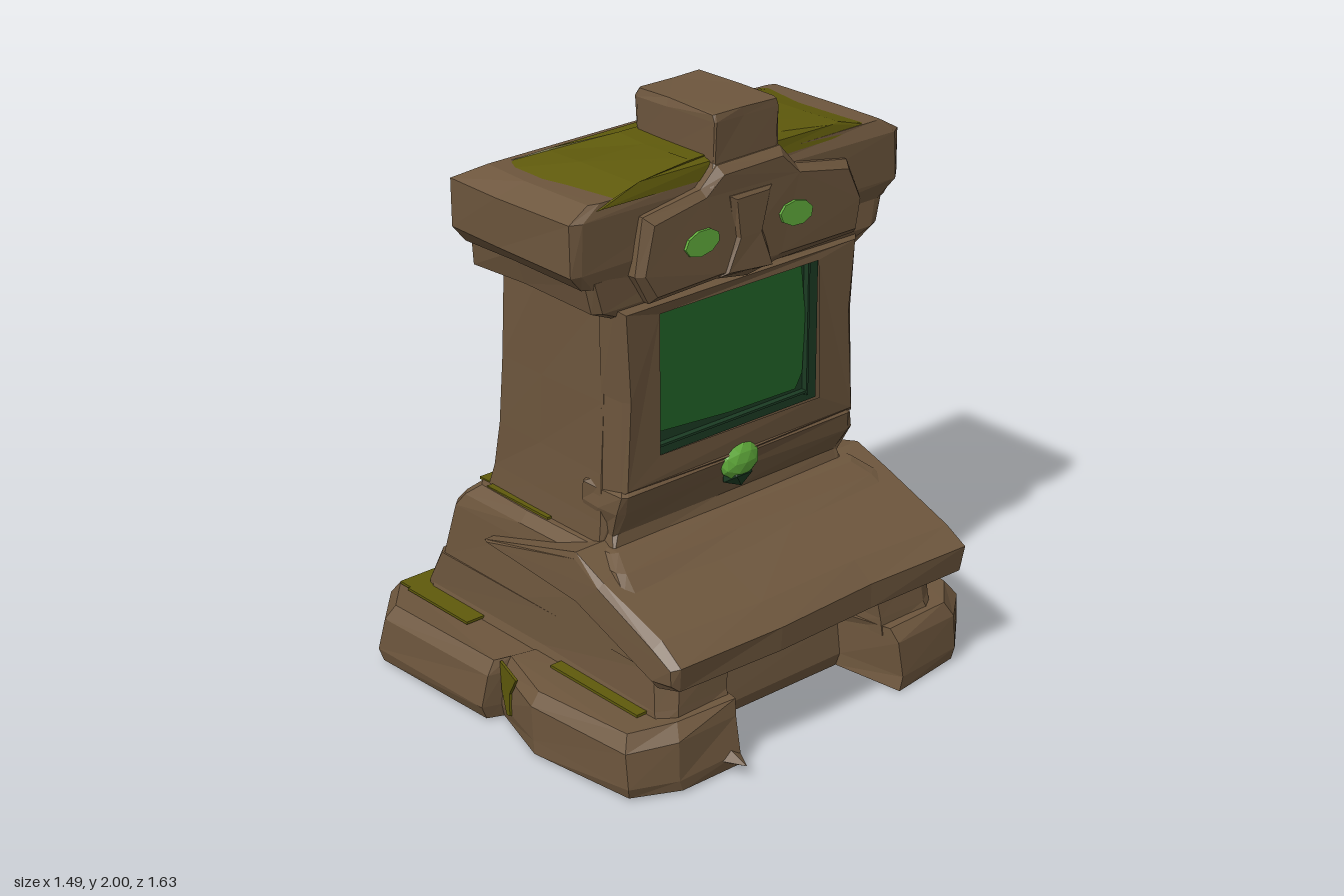
import * as THREE from 'three';

const mat = (name, color, extra = {}) => {
  const m = new THREE.MeshStandardMaterial({ color, flatShading: true, ...extra });
  m.name = name;
  return m;
};

// Same point always gets the same nudge, so seams stay closed
function roughen(geo, amount) {
  const g = geo.index ? geo.toNonIndexed() : geo;
  const p = g.attributes.position;
  const key = (v) => Math.round(v * 1000);
  const noise = (x, y, z, s) => {
    const n = Math.sin(key(x) * 0.127 + key(y) * 0.311 + key(z) * 0.747 + s * 4.1) * 43758.5;
    return (n - Math.floor(n)) * 2 - 1;
  };
  for (let i = 0; i < p.count; i++) {
    const x = p.getX(i), y = p.getY(i), z = p.getZ(i);
    p.setXYZ(i, x + noise(x, y, z, 1) * amount, y + noise(x, y, z, 2) * amount * 0.6, z + noise(x, y, z, 3) * amount);
  }
  g.computeVertexNormals();
  return g;
}

// Stack scaled copies of a plan outline [x, z]; each level is [y, x0, x1, halfZ] of the unit plan
function loft(plan, levels) {
  let flat = plan.map(([x, z]) => new THREE.Vector2(x, -z));
  if (THREE.ShapeUtils.isClockWise(flat)) flat = flat.reverse();
  const n = flat.length, pos = [], idx = [];
  for (const [y, x0, x1, hz] of levels)
    for (const v of flat) pos.push((x0 + x1) / 2 + v.x * (x1 - x0) / 2, y, -v.y * hz);
  for (let l = 0; l < levels.length - 1; l++)
    for (let i = 0; i < n; i++) {
      const a = l * n + i, b = l * n + (i + 1) % n;
      idx.push(a, b, b + n, a, b + n, a + n);
    }
  const top = (levels.length - 1) * n;
  for (const [a, b, c] of THREE.ShapeUtils.triangulateShape(flat, [])) {
    idx.push(a + top, b + top, c + top, a, c, b);
  }
  const g = new THREE.BufferGeometry();
  g.setAttribute('position', new THREE.Float32BufferAttribute(pos, 3));
  g.setIndex(idx);
  return g;
}

const outline = (pts) => pts.map(([x, y]) => new THREE.Vector2(x, y));

// Extrude a [z, y] outline along +x, starting at x
function facing(pts, hole, x, depth, bevel) {
  const flip = (list) => outline(list.map(([z, y]) => [-z, y]));
  const s = new THREE.Shape(flip(pts));
  if (hole) s.holes.push(new THREE.Path(flip(hole)));
  const g = new THREE.ExtrudeGeometry(s, {
    depth: depth - bevel, bevelEnabled: bevel > 0, bevelThickness: bevel, bevelSize: bevel, bevelOffset: -bevel, bevelSegments: 1,
  });
  return g.rotateY(Math.PI / 2).translate(x, 0, 0);
}

export function createModel() {
  const group = new THREE.Group();
  const stone = mat('brown stone', 0x6d563d);
  const moss = mat('olive moss', 0x5f5a0c);
  const glow = mat('bright green', 0x62ae3c);
  const screen = mat('screen green', 0x216427);
  const dark = mat('dark green', 0x1b3b23);
  const add = (name, geo, material, rough = 0) => {
    const m = new THREE.Mesh(rough ? roughen(geo, rough) : geo, material);
    m.name = name;
    group.add(m);
    return m;
  };

  // Chamfered unit block plan
  const block = [[-1, -0.95], [-0.94, -1], [0.1, -1], [0.95, -1], [1, -0.95], [1, 0.1],
    [1, 0.95], [0.95, 1], [-0.2, 1], [-0.94, 1], [-1, 0.95], [-1, -0.2]];

  // Base slab with a front recess between two feet
  const basePlan = [[-0.74, -0.68], [-0.62, -0.82], [-0.07, -0.81], [-0.06, -0.74], [0.28, -0.8], [0.55, -0.75],
    [0.66, -0.63], [0.68, -0.36], [0.42, -0.32], [0.42, 0.32], [0.67, 0.36], [0.67, 0.6], [0.6, 0.76],
    [0.2, 0.8], [-0.05, 0.72], [-0.07, 0.79], [-0.6, 0.8], [-0.74, 0.67]];
  add('baseSlab', loft(basePlan, [[0.005, -0.99, 0.99, 0.99], [0.05, -1, 1, 1], [0.17, -0.98, 0.98, 0.99], [0.215, -0.94, 0.94, 0.95]]), stone, 0.01);
  add('baseSpur', new THREE.ConeGeometry(0.07, 0.13, 4).rotateZ(-Math.PI / 2).scale(1, 0.6, 1).translate(0.68, 0.045, 0.39), stone);

  // Lower plinth, recessed at the front centre, then the sloping upper plinth
  const plinthPlan = [[-1, -0.97], [-0.95, -1], [0, -1], [0.92, -1], [1, -0.9], [1, -0.56], [0.7, -0.54],
    [0.7, 0.54], [1, 0.56], [1, 0.9], [0.92, 1], [0, 1], [-0.95, 1], [-1, 0.97]];
  add('lowerPlinth', loft(plinthPlan, [[0.18, -0.61, 0.61, 0.61], [0.24, -0.6, 0.6, 0.6], [0.37, -0.555, 0.58, 0.585]]), stone, 0.008);
  add('upperPlinth', loft(block, [[0.36, -0.555, 0.56, 0.585], [0.56, -0.5, 0.42, 0.575], [0.61, -0.46, 0.34, 0.56], [0.645, -0.41, 0.27, 0.53]]), stone, 0.008);

  // Sloping console overhanging the front and sides
  const wedge = new THREE.Shape(outline([[-0.28, 0.52], [0.2, 0.48], [0.48, 0.37], [0.58, 0.345], [0.68, 0.36],
    [0.685, 0.44], [0.6, 0.5], [0.33, 0.6], [0.2, 0.655]]));
  const wedgeGeo = new THREE.ExtrudeGeometry(wedge, { depth: 1.22, steps: 3, bevelThickness: 0.02, bevelSize: 0.02, bevelOffset: -0.02, bevelSegments: 1 });
  add('console', wedgeGeo.translate(0, 0, -0.61), stone, 0.011);

  // Cabinet body, lower front ledge and screen frame
  add('cabinet', loft(block, [[0.62, -0.41, 0.2, 0.51], [0.72, -0.375, 0.2, 0.5], [0.88, -0.34, 0.2, 0.49], [1.12, -0.325, 0.2, 0.485], [1.46, -0.31, 0.2, 0.485]]), stone, 0.006);
  add('frontLedge', loft(block, [[0.62, 0.1, 0.25, 0.5], [0.68, 0.1, 0.23, 0.49], [0.77, 0.1, 0.27, 0.5], [0.83, 0.1, 0.285, 0.5], [0.86, 0.1, 0.25, 0.47]]), stone, 0.01);
  add('screenFrame', facing(
    [[-0.5, 0.83], [0, 0.82], [0.49, 0.83], [0.48, 1.15], [0.5, 1.46], [-0.5, 1.46], [-0.48, 1.2]],
    [[-0.35, 0.91], [0.36, 0.91], [0.36, 1.43], [-0.34, 1.43]], 0.18, 0.11, 0.02), stone, 0.006);

  // Recessed screen with a dark surround
  add('screenSurround', new THREE.BoxGeometry(0.008, 0.56, 0.78).translate(0.212, 1.17, 0), dark);
  add('screen', facing([[-0.29, 0.95], [0, 0.955], [0.33, 0.98], [0.33, 1.36], [0.3, 1.39], [-0.27, 1.395], [-0.31, 1.37], [-0.33, 1.2], [-0.32, 1.0]], null, 0.216, 0.008, 0), screen);
  // Dark lining on the inner walls of the recess
  for (const [w, h, y, z] of [[0.008, 0.5, 1.17, 0.342], [0.008, 0.5, 1.17, -0.332], [0.66, 0.008, 0.933, 0]]) {
    add('recessLining', new THREE.BoxGeometry(0.03, h, w).translate(0.222, y, z), dark);
  }

  // Head in two overhanging tiers
  add('headLower', loft(block, [[1.42, -0.305, 0.27, 0.5], [1.46, -0.31, 0.28, 0.59], [1.57, -0.305, 0.28, 0.62]]), stone, 0.01);
  add('headUpper', loft(block, [[1.55, -0.3, 0.28, 0.63], [1.61, -0.31, 0.29, 0.68], [1.77, -0.305, 0.29, 0.68], [1.81, -0.23, 0.275, 0.6]]), stone, 0.008);
  add('headMoss', loft(block, [[1.795, -0.23, 0.275, 0.6], [1.84, -0.15, 0.27, 0.42], [1.86, -0.08, 0.25, 0.2]]), moss, 0.01);

  // Brow plate, nose ridge and the crest block
  add('brow', facing([[-0.46, 1.47], [-0.12, 1.47], [0, 1.45], [0.13, 1.47], [0.4, 1.46], [0.46, 1.56], [0.42, 1.74],
    [0.2, 1.78], [0.13, 1.84], [-0.13, 1.84], [-0.2, 1.77], [-0.42, 1.73], [-0.48, 1.6]], null, 0.24, 0.09, 0.025), stone, 0.004);
  add('noseRidge', facing([[-0.08, 1.47], [0.13, 1.48], [0.08, 1.6], [0.1, 1.74], [-0.07, 1.74], [-0.04, 1.6]], null, 0.31, 0.035, 0.015), stone, 0.005);
  add('crest', loft(block, [[1.78, -0.04, 0.33, 0.17], [1.84, -0.07, 0.3, 0.13], [1.97, -0.07, 0.3, 0.135], [1.995, -0.065, 0.295, 0.125]]), stone, 0.005);

  // Eyes and button
  for (const z of [0.215, -0.175]) {
    const eye = add(z > 0 ? 'leftEye' : 'rightEye', new THREE.CylinderGeometry(1, 1, 0.009, 9).rotateZ(-Math.PI / 2).scale(1, 0.042, 0.07), glow);
    eye.position.set(0.336, 1.62, z);
    eye.rotation.x = z > 0 ? 0.1 : -0.15;
  }
  add('button', new THREE.IcosahedronGeometry(0.08, 1).scale(0.5, 0.85, 1).translate(0.272, 0.81, 0), glow);
  add('buttonSocket', new THREE.IcosahedronGeometry(0.07, 0).scale(0.7, 0.75, 0.9).translate(0.26, 0.765, 0), dark);

  // Moss strips on the ledges: [x0, x1, z0, z1, y]
  const strips = [[-0.675, -0.6, -0.65, 0.66, 0.222], [-0.62, -0.3, 0.59, 0.67, 0.222], [-0.62, -0.3, -0.66, -0.59, 0.222],
    [0.1, 0.52, 0.6, 0.645, 0.222], [-0.43, -0.36, -0.49, 0.5, 0.648], [-0.36, -0.05, 0.48, 0.525, 0.648],
    [-0.3, 0.2, -0.525, -0.48, 0.648]];
  for (const [x0, x1, z0, z1, y] of strips) {
    add('mossStrip', new THREE.BoxGeometry(x1 - x0, 0.009, z1 - z0).translate((x0 + x1) / 2, y, (z0 + z1) / 2), moss);
  }
  // Moss hanging down the side of the base
  const drip = new THREE.Shape(outline([[-0.05, 0.08], [-0.04, -0.02], [0, -0.09], [0.03, -0.08], [0.03, 0], [0.09, 0.08]]));
  const hang = add('mossDrip', new THREE.ExtrudeGeometry(drip, { depth: 0.009, bevelEnabled: false }), moss);
  hang.position.set(0, 0.13, 0.738);
  hang.rotation.y = -0.31;

  return group;
}
